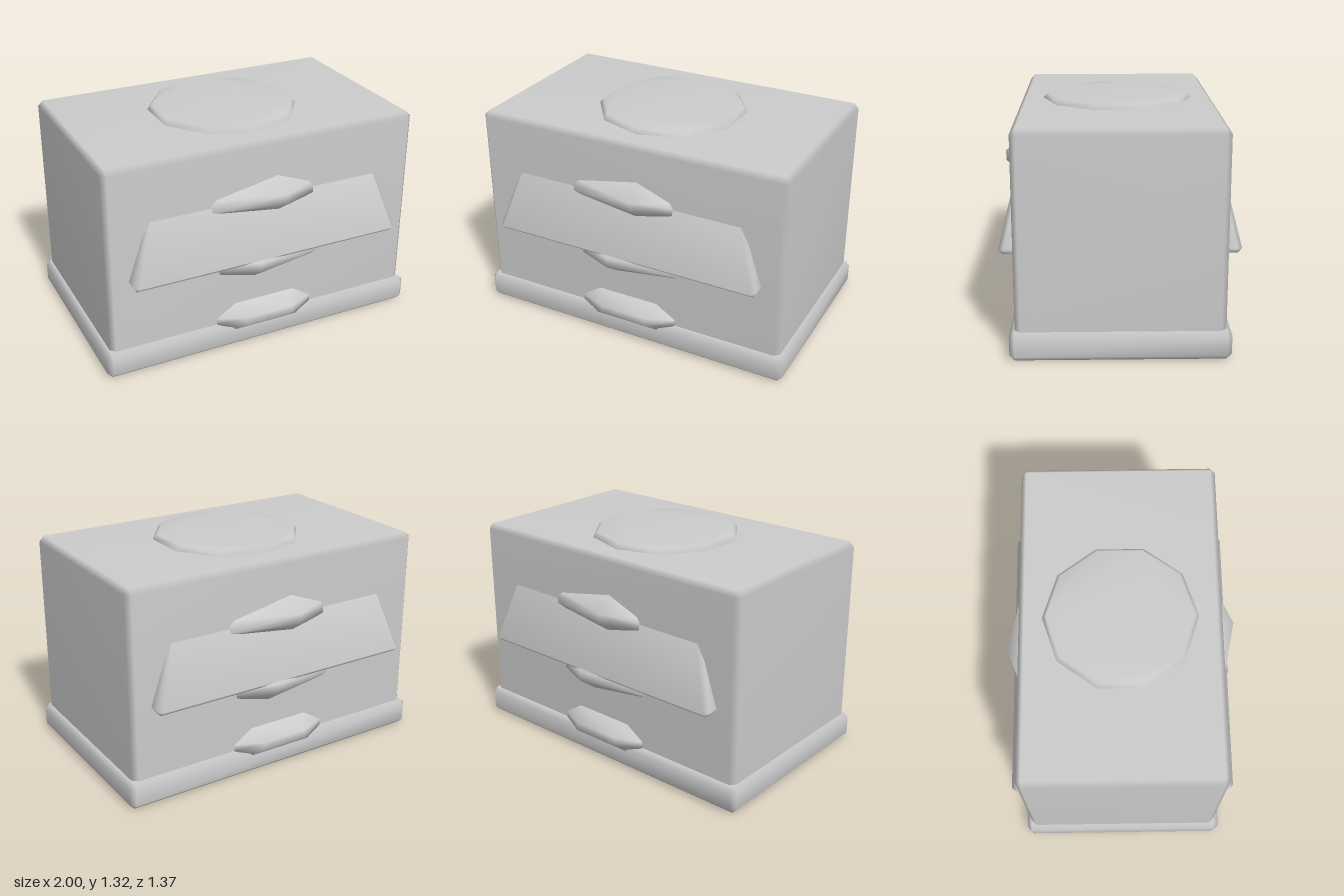
import * as THREE from 'three';
import { ConvexGeometry } from 'three/addons/geometries/ConvexGeometry.js';
import { mergeVertices } from 'three/addons/utils/BufferGeometryUtils.js';

const material = new THREE.MeshStandardMaterial({ color: 0xcccccc });

// Smooth-shaded convex solid around a few corner points
function solid(name, points) {
  let geometry = new ConvexGeometry(points.map((p) => new THREE.Vector3(...p)));
  geometry.deleteAttribute('normal');
  geometry = mergeVertices(geometry, 1e-4);
  geometry.computeVertexNormals();
  const mesh = new THREE.Mesh(geometry, material);
  mesh.name = name;
  return mesh;
}

// Box with chamfered edges, standing from y0 to y1
function chamferBox(name, x, z, y0, y1, c) {
  const points = [];
  const h = (y1 - y0) / 2;
  const mid = (y0 + y1) / 2;
  for (const sx of [-1, 1]) for (const sy of [-1, 1]) for (const sz of [-1, 1]) {
    points.push(
      [sx * x, mid + sy * (h - c), sz * (z - c)],
      [sx * (x - c), mid + sy * h, sz * (z - c)],
      [sx * (x - c), mid + sy * (h - c), sz * z],
    );
  }
  return solid(name, points);
}

// Lopsided pointed boss with its ridge to one side; flip mirrors it in x
function pointedBoss(name, y, flip, reach) {
  const outline = [
    [-0.31, 0.035, 0.585], [0.07, 0.11, 0.58], [0.28, 0.03, 0.585],
    [-0.35, 0.005, 0.585], [-0.34, -0.035, 0.59], [-0.31, -0.05, 0.585],
    [0.30, 0, 0.585], [0.30, -0.04, 0.59], [0.27, -0.055, 0.585],
    [0.07, -0.11, 0.58],
    [0.08, 0.025, reach], [0.08, -0.035, reach],
    [-0.3, 0.04, 0.5], [0.07, 0.11, 0.5], [0.27, 0.03, 0.5], [0.07, -0.11, 0.5],
  ];
  return solid(name, outline.map(([x, dy, z]) => [flip * x, y + dy, z]));
}

// Everything mounted on one long wall
function wallFittings(name) {
  const group = new THREE.Group();
  group.name = name;

  // Sloping panel, wider and prouder at its lower edge
  const panel = [];
  for (const s of [-1, 1]) {
    panel.push(
      [s * 0.845, 0.6, 0.56], [s * 0.845, 0.595, 0.64],
      [s * 0.825, 0.565, 0.56], [s * 0.825, 0.565, 0.645],
      [s * 0.82, 0.59, 0.668],
      [s * 0.76, 0.85, 0.58], [s * 0.71, 0.94, 0.582], [s * 0.71, 0.94, 0.54],
    );
  }
  group.add(solid('slopingPanel', panel));

  group.add(pointedBoss('upperBoss', 0.95, 1, 0.677));
  group.add(pointedBoss('middleBoss', 0.55, -1, 0.683));

  // Blunt boss resting on the base
  const blunt = [];
  for (const s of [-1, 1]) {
    blunt.push(
      [s * 0.19, 0.28, 0.58], [s * 0.19, 0.28, 0.53],
      [s * 0.31, 0.205, 0.585], [s * 0.31, 0.165, 0.585],
      [s * 0.31, 0.19, 0.53],
      [s * 0.15, 0.205, 0.652], [s * 0.15, 0.155, 0.652],
      [s * 0.2, 0.118, 0.61], [s * 0.2, 0.118, 0.53],
    );
  }
  group.add(solid('lowerBoss', blunt));
  return group;
}

export function createModel() {
  const model = new THREE.Group();
  model.name = 'box';

  model.add(chamferBox('base', 1, 0.61, 0, 0.165, 0.03));
  model.add(chamferBox('body', 0.97, 0.58, 0.1, 1.285, 0.03));

  // Ten-sided cap on the top, with a slim chamfer
  const cap = [];
  for (let i = 0; i < 10; i++) {
    const a = (i / 10) * Math.PI * 2;
    for (const [r, y] of [[0.445, 1.25], [0.445, 1.288], [0.42, 1.316]]) {
      cap.push([r * Math.sin(a), y, r * Math.cos(a)]);
    }
  }
  model.add(solid('topCap', cap));

  // Matching fittings on the front and back walls
  const back = wallFittings('backFittings');
  back.rotation.y = Math.PI;
  model.add(wallFittings('frontFittings'), back);
  return model;
}
